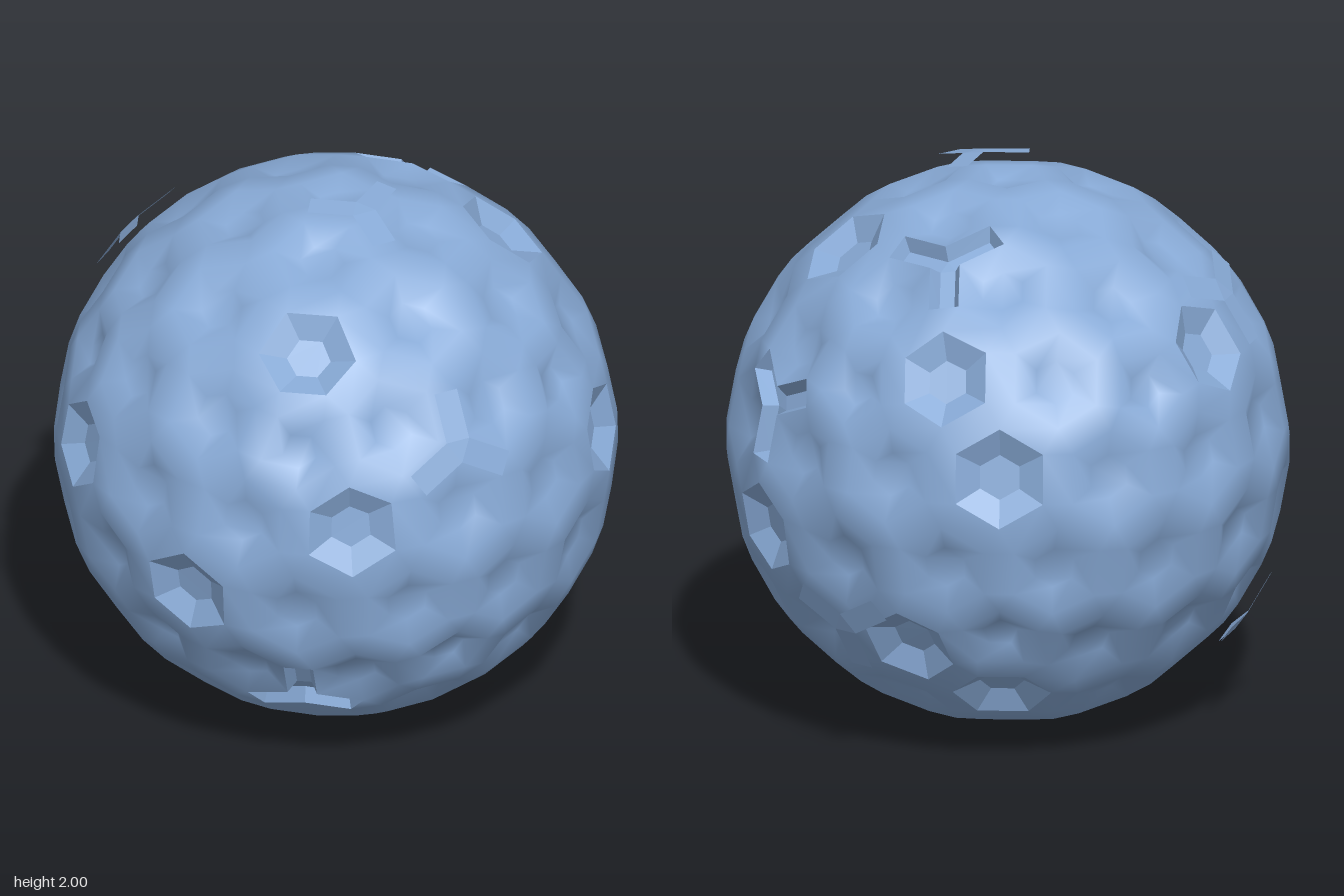
import * as THREE from 'three';

const R = 0.987, RIM = 0.74, FLOOR = 0.45, DEPTH = 0.035, SHARP_DEPTH = 0.05;
const RAISE = 0.045, PLATE = 0.85, SINK = -0.05, TROUGH = 0.5;

// Unit direction from azimuth (from +x towards +z) and latitude, in degrees
function dir(az, lat) {
  const a = THREE.MathUtils.degToRad(az), l = THREE.MathUtils.degToRad(lat);
  return new THREE.Vector3(Math.cos(l) * Math.cos(a), Math.sin(l), Math.cos(l) * Math.sin(a));
}

// Sharp-edged dimples and three-armed ridge pieces, by azimuth and latitude
const SHARP = [[36, 52], [144, 48], [60, 10], [132, 10], [-36, 10], [-24, 31], [24, -9],
  [-12, -30], [-36, -48], [252, -48], [204, 10], [264, 31], [168, -9]];
const RAISED = [[108, 78], [108, 25], [0, -24.5], [252, 36], [242, -36]];
const SUNKEN = [[24, 18], [-13, 58], [144, -38], [144, -78]];

// Collects triangles from points; shared points give smooth normals
function collector() {
  const pos = [], idx = [], ids = new Map();
  const id = (p) => {
    if (!ids.has(p)) { ids.set(p, pos.length / 3); pos.push(p.x, p.y, p.z); }
    return ids.get(p);
  };
  return {
    poly(...pts) {
      for (let i = 1; i < pts.length - 1; i++) idx.push(id(pts[0]), id(pts[i]), id(pts[i + 1]));
    },
    geometry(flat) {
      let g = new THREE.BufferGeometry();
      g.setAttribute('position', new THREE.Float32BufferAttribute(pos, 3));
      g.setIndex(idx);
      if (flat) g = g.toNonIndexed();
      g.computeVertexNormals();
      return g;
    },
  };
}

// Geodesic grid: 92 cell centres and 180 junctions between three cells
function buildGrid() {
  const ring = Math.atan(0.5) * 180 / Math.PI;
  const v = [new THREE.Vector3(0, 1, 0)], faces = [];
  for (let k = 0; k < 5; k++) v.push(dir(72 * k, ring));
  for (let k = 0; k < 5; k++) v.push(dir(36 + 72 * k, -ring));
  v.push(new THREE.Vector3(0, -1, 0));
  for (let k = 0; k < 5; k++) {
    const n = (k + 1) % 5, u0 = 1 + k, u1 = 1 + n, l0 = 6 + k, l1 = 6 + n;
    faces.push(0, u1, u0, u0, u1, l0, l0, u1, l1, 11, l0, l1);
  }
  const p = new THREE.PolyhedronGeometry(v.flatMap((q) => q.toArray()), faces, 1, 2).attributes.position;
  const cells = [], tris = [], edge = new Map();
  const cellId = (q) => {
    let i = cells.findIndex((c) => c.distanceTo(q) < 0.01);
    if (i < 0) i = cells.push(q) - 1;
    return i;
  };
  for (let i = 0; i < p.count; i += 3) {
    const t = [0, 1, 2].map((j) => cellId(new THREE.Vector3().fromBufferAttribute(p, i + j).normalize()));
    const [a, b, c] = t.map((n) => cells[n]);
    if (new THREE.Vector3().crossVectors(b, c).dot(a) < 0) t.reverse();
    tris.push(t);
  }
  tris.forEach((t, n) => t.forEach((a, j) => edge.set(a + '_' + t[(j + 1) % 3], n)));
  const joints = tris.map(([a, b, c]) => cells[a].clone().add(cells[b]).add(cells[c]).normalize());
  return { cells, tris, joints, across: (a, b) => edge.get(a + '_' + b) };
}

function nearest(list, [az, lat]) {
  const d = dir(az, lat);
  let best = 0;
  list.forEach((q, i) => { if (q.dot(d) > list[best].dot(d)) best = i; });
  return best;
}

// Narrows a three-armed outline (three points per arm) towards its middle lines
function narrow(base, s) {
  const hub = base[0].clone().add(base[3]).add(base[6]).divideScalar(3);
  return base.map((p, i) => {
    if (i % 3 === 0) return hub.clone().lerp(p, s);
    const other = base[i % 3 === 1 ? i + 1 : i - 1];
    const mid = p.clone().add(other).multiplyScalar(0.5);
    const pull = hub.clone().sub(mid).setLength((1 - s) * p.distanceTo(other) / 2);
    return mid.lerp(p, s).add(pull);
  });
}

function addArms(part, o) {
  part.poly(o[0], o[3], o[6]);
  for (let i = 0; i < 9; i += 3) part.poly(o[i], o[i + 1], o[i + 2], o[(i + 3) % 9]);
}

export function createModel() {
  const { cells, tris, joints, across } = buildGrid();
  const blue = new THREE.MeshStandardMaterial({ color: 0x88aad6, side: THREE.DoubleSide });
  blue.name = 'softBlue';
  const group = new THREE.Group();
  group.name = 'dimpledBall';
  const addMesh = (name, part, flat) => {
    const m = new THREE.Mesh(part.geometry(flat), blue);
    m.name = name;
    group.add(m);
  };

  // Rim point of a cell beside a junction
  const rims = new Map();
  const rim = (cell, joint) => {
    const key = cell + '_' + joint;
    if (!rims.has(key)) {
      rims.set(key, cells[cell].clone().lerp(joints[joint], RIM).normalize().multiplyScalar(R));
    }
    return rims.get(key);
  };

  const shell = collector();
  const sharp = new Set(SHARP.map((s) => nearest(cells, s)));
  const raised = RAISED.map((s) => nearest(joints, s));
  const sunken = SUNKEN.map((s) => nearest(joints, s));

  // Dimples: sloping sides down to a small flat floor
  cells.forEach((c, n) => {
    const first = tris.findIndex((t) => t.includes(n)), loop = [];
    let j = first;
    do {
      loop.push(j);
      const t = tris[j];
      j = across(n, t[(t.indexOf(n) + 2) % 3]);
    } while (j !== first);
    const isSharp = sharp.has(n);
    const top = loop.map((k) => rim(n, k));
    const mid = top.reduce((s, q) => s.add(q), new THREE.Vector3()).divideScalar(top.length);
    const floor = top.map((q) => mid.clone().lerp(q, FLOOR).addScaledVector(c, isSharp ? -SHARP_DEPTH : -DEPTH));
    const part = isSharp ? collector() : shell;
    top.forEach((q, i) => {
      const k = (i + 1) % top.length;
      part.poly(q, top[k], floor[k], floor[i]);
    });
    part.poly(...floor);
    if (isSharp) addMesh('sharpDimple', part, true);
  });

  // Ridges: a triangle at every junction, a strip along every cell border
  tris.forEach((t, j) => {
    if (!sunken.includes(j)) shell.poly(...t.map((c) => rim(c, j)));
    t.forEach((a, i) => {
      const b = t[(i + 1) % 3], k = across(b, a);
      if (a < b && !sunken.includes(j) && !sunken.includes(k)) {
        shell.poly(rim(a, j), rim(a, k), rim(b, k), rim(b, j));
      }
    });
  });
  addMesh('ballShell', shell, false);

  // Outline of the three ridge arms meeting at a junction
  const outline = (j) => tris[j].flatMap((a, i) => {
    const b = tris[j][(i + 1) % 3], k = across(b, a);
    return [rim(a, j), rim(a, k), rim(b, k)];
  });

  // Thin three-armed plates floating just above the ridges
  for (const j of raised) {
    const part = collector();
    addArms(part, narrow(outline(j), PLATE).map((q) => q.addScaledVector(joints[j], RAISE)));
    addMesh('raisedPlate', part, true);
  }

  // Three-armed troughs with sloping walls
  for (const j of sunken) {
    const part = collector(), base = outline(j);
    const floor = narrow(base, TROUGH).map((q) => q.addScaledVector(joints[j], SINK));
    addArms(part, floor);
    base.forEach((q, i) => {
      const k = (i + 1) % 9;
      part.poly(q, base[k], floor[k], floor[i]);
    });
    addMesh('sunkenTrough', part, true);
  }

  // Stand the ball on the ground
  const box = new THREE.Box3().setFromObject(group);
  group.children.forEach((m) => m.geometry.translate(0, -box.min.y, 0));
  return group;
}
